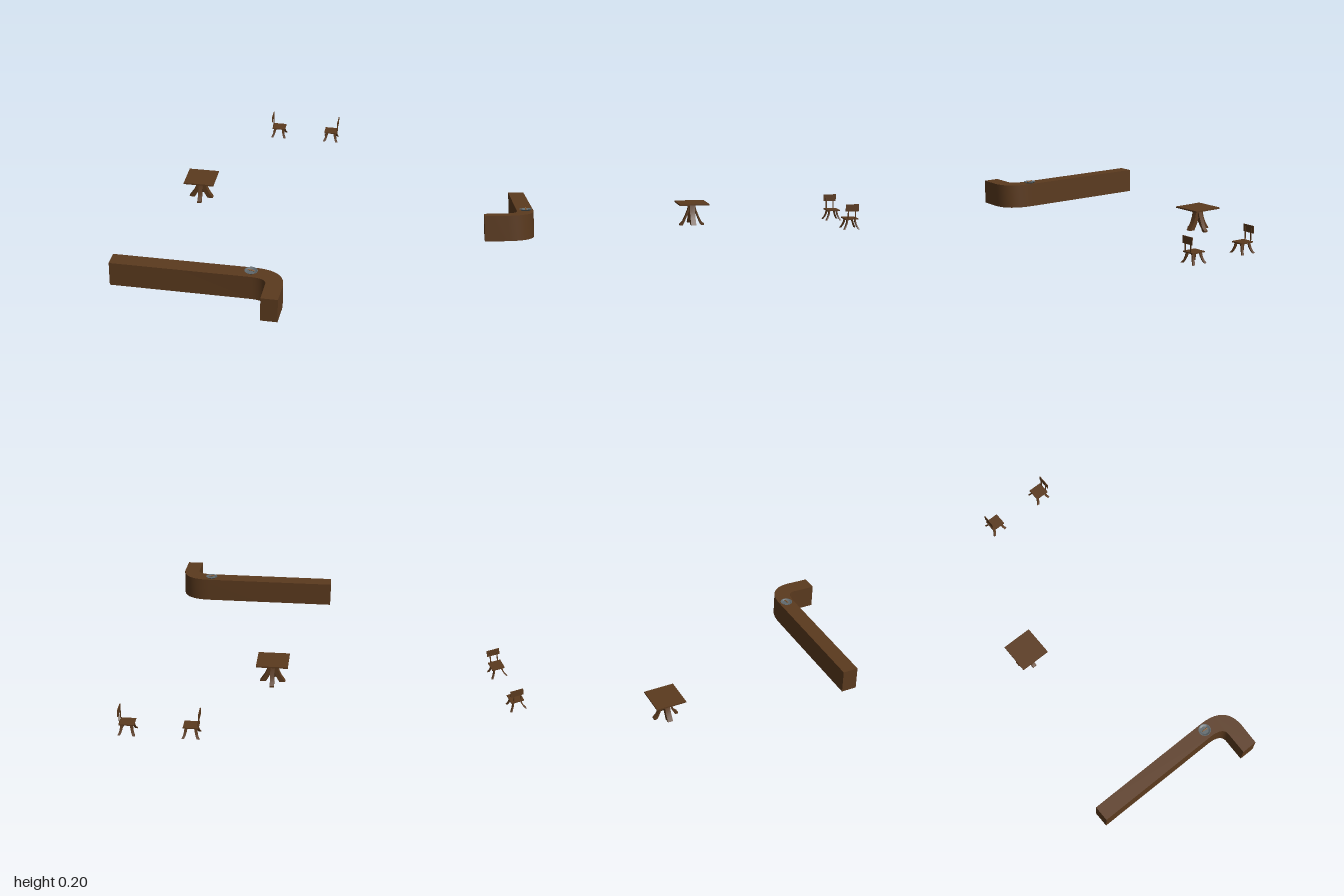
import * as THREE from 'three';
import { toCreasedNormals } from 'three/addons/utils/BufferGeometryUtils.js';

const wood = new THREE.MeshStandardMaterial({ color: 0x5b3a1e });
const metal = new THREE.MeshStandardMaterial({ color: 0x5f686c, side: THREE.DoubleSide });
const tan = new THREE.MeshStandardMaterial({ color: 0x8a5c30 });

function add(parent, name, geometry, material, x = 0, y = 0, z = 0) {
  const mesh = new THREE.Mesh(geometry, material);
  mesh.name = name;
  mesh.position.set(x, y, z);
  parent.add(mesh);
  return mesh;
}

// Leg with level cross-sections; stations run top to bottom as [x, y, z, width x, width z]
function bentLeg(stations) {
  const n = stations.length - 1;
  const geo = new THREE.BoxGeometry(1, 1, 1, 1, n, 1);
  const p = geo.attributes.position;
  for (let i = 0; i < p.count; i++) {
    const [x, y, z, w, d] = stations[Math.round((0.5 - p.getY(i)) * n)];
    p.setXYZ(i, x + p.getX(i) * w, y, z + p.getZ(i) * d);
  }
  return toCreasedNormals(geo, 0.6);
}

// Long bar counter with a rounded corner and a short return
function makeCounter() {
  const s = new THREE.Shape();
  s.moveTo(-0.497, 0.735);
  s.lineTo(0.24, 0.735);
  s.bezierCurveTo(0.35, 0.735, 0.41, 0.78, 0.408, 0.88);
  s.lineTo(0.402, 1.0);
  s.lineTo(0.315, 1.0);
  s.lineTo(0.319, 0.87);
  s.bezierCurveTo(0.319, 0.84, 0.29, 0.825, 0.24, 0.823);
  s.lineTo(-0.497, 0.823);
  const geo = new THREE.ExtrudeGeometry(s, { depth: 0.133, bevelEnabled: false, curveSegments: 10 });
  geo.rotateX(Math.PI / 2);
  return toCreasedNormals(geo, 0.5);
}

// Small round dish with a short roll resting in it
function makeDish() {
  const g = new THREE.Group();
  g.name = 'dish';
  const profile = [[0, 0], [0.024, 0], [0.034, 0.008], [0.031, 0.008], [0.022, 0.003], [0, 0.003]]
    .map(([r, y]) => new THREE.Vector2(r, y));
  add(g, 'dishBowl', toCreasedNormals(new THREE.LatheGeometry(profile, 24), 0.4), metal);
  const roll = add(g, 'roll', new THREE.CylinderGeometry(0.003, 0.004, 0.034, 10), tan, 0, 0.01, 0);
  roll.rotation.z = Math.PI / 2 - 0.15;
  return g;
}

// Square table on four splayed slab legs
function makeTable() {
  const g = new THREE.Group();
  g.name = 'table';
  add(g, 'tableTop', new THREE.BoxGeometry(0.172, 0.008, 0.172), wood, 0, 0.13, 0);
  for (const s of [1, -1]) {
    add(g, 'tableSideLeg', bentLeg([
      [s * 0.012, 0.126, 0, 0.018, 0.03],
      [s * 0.018, 0.08, 0, 0.024, 0.03],
      [s * 0.03, 0.045, 0, 0.028, 0.03],
      [s * 0.053, 0.008, 0, 0.032, 0.03],
    ]), wood);
    add(g, 'tableEndLeg', bentLeg([
      [0, 0.126, s * 0.01, 0.024, 0.014],
      [0, 0.09, s * 0.02, 0.024, 0.011],
      [0, 0.05, s * 0.037, 0.024, 0.01],
      [0, 0.025, s * 0.048, 0.024, 0.012],
      [0, 0.01, s * 0.06, 0.024, 0.022],
      [0, 0.001, s * 0.063, 0.024, 0.016],
    ]), wood);
  }
  return g;
}

// Chair facing +x, seat centred on the group origin
function makeChair() {
  const g = new THREE.Group();
  g.name = 'chair';
  add(g, 'seat', new THREE.BoxGeometry(0.078, 0.006, 0.072), wood, 0, 0.122, 0);
  add(g, 'backRest', new THREE.BoxGeometry(0.004, 0.038, 0.072), wood, -0.041, 0.184, 0);
  for (const z of [1, -1]) {
    add(g, 'backPost', bentLeg([
      [-0.038, 0.19, z * 0.02, 0.004, 0.006],
      [-0.037, 0.15, z * 0.02, 0.004, 0.006],
      [-0.036, 0.122, z * 0.02, 0.004, 0.006],
    ]), wood);
    for (const x of [1, -1]) {
      add(g, 'chairLeg', bentLeg([
        [x * 0.024, 0.121, z * 0.02, 0.015, 0.007],
        [x * 0.026, 0.1, z * 0.024, 0.014, 0.007],
        [x * 0.031, 0.08, z * 0.032, 0.013, 0.007],
        [x * 0.038, 0.066, z * 0.041, 0.013, 0.009],
      ]), wood);
    }
  }
  return g;
}

export function createModel() {
  const model = new THREE.Group();
  model.name = 'barFurniture';
  add(model, 'counter', makeCounter(), wood, 0, 0.178, 0);

  const dish = makeDish();
  dish.position.set(0.232, 0.178, 0.775);
  model.add(dish);

  const table = makeTable();
  table.position.set(-0.223, 0, -0.218);
  model.add(table);

  // Two chairs facing each other
  [[0.125, 0], [0.447, Math.PI]].forEach(([x, turn]) => {
    const chair = makeChair();
    chair.position.set(x, 0, -0.952);
    chair.rotation.y = turn;
    model.add(chair);
  });
  return model;
}
